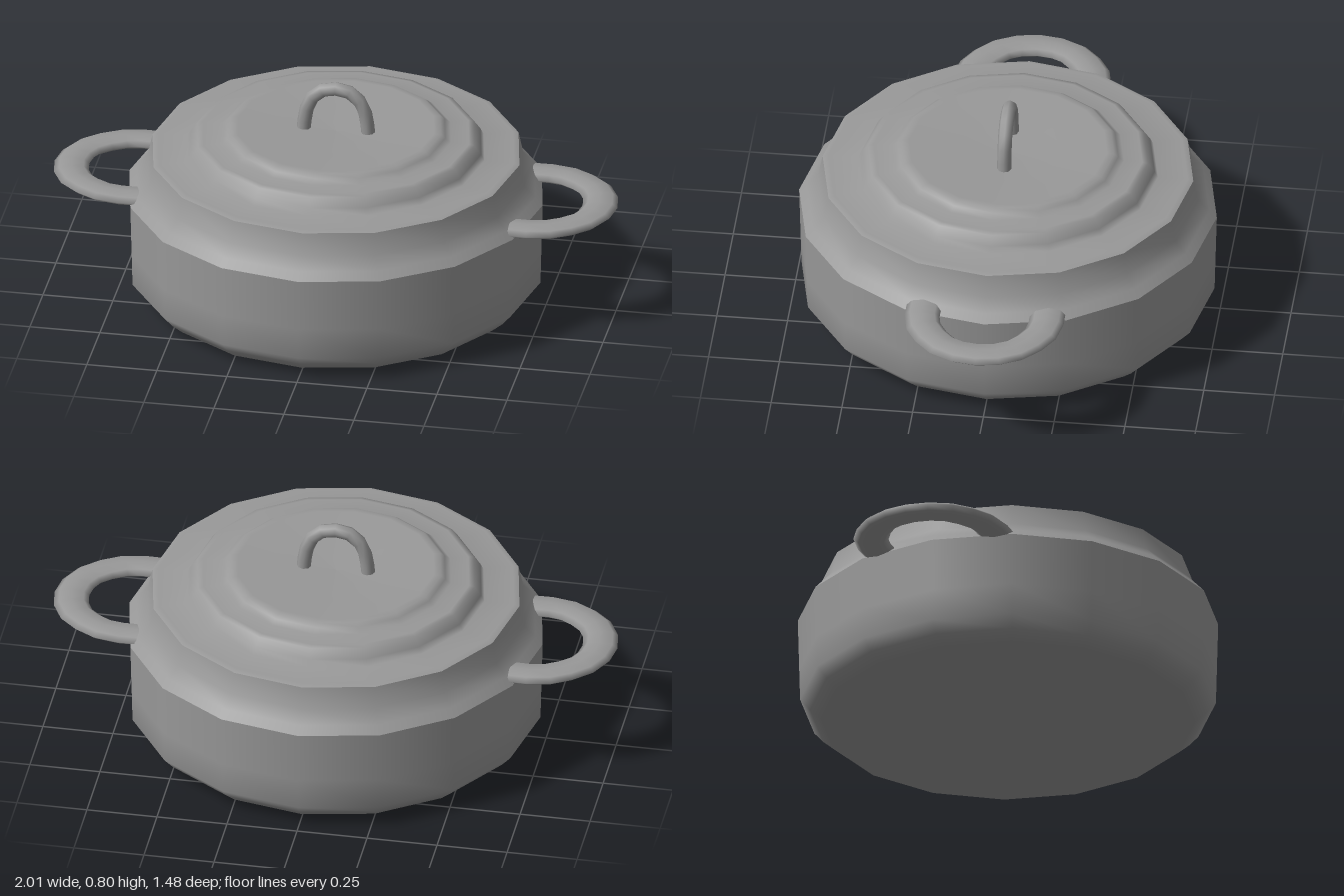
import * as THREE from 'three';

const grey = new THREE.MeshStandardMaterial({ color: 0x999999 });
grey.name = 'grey metal';

const SIDES = 16;

function lathe(name, profile) {
  const points = profile.map(([r, y]) => new THREE.Vector2(r, y));
  const mesh = new THREE.Mesh(new THREE.LatheGeometry(points, SIDES), grey);
  mesh.name = name;
  return mesh;
}

// Tube along half a path that is mirrored on its first coordinate
function loopTube(half, toPoint, radius, steps, sides) {
  const path = [...half, ...half.slice().reverse().map(([a, b]) => [-a, b])];
  const curve = new THREE.CatmullRomCurve3(path.map(toPoint));
  return new THREE.TubeGeometry(curve, steps, radius, sides);
}

export function createModel() {
  const pot = new THREE.Group();
  pot.name = 'casserole';

  // Rounded pot with a slightly domed base
  pot.add(lathe('potBody', [
    [0, 0], [0.28, 0.002], [0.655, 0.01], [0.695, 0.045], [0.73, 0.085],
    [0.733, 0.2], [0.738, 0.39],
  ]));

  // Stepped lid with a dished centre
  pot.add(lathe('lidSkirt', [[0.738, 0.39], [0.712, 0.418], [0.672, 0.46], [0.655, 0.54]]));
  pot.add(lathe('lidTop', [
    [0.655, 0.54], [0.635, 0.546], [0.53, 0.546], [0.518, 0.57], [0.495, 0.602],
    [0.475, 0.606], [0.41, 0.606], [0.39, 0.622], [0.375, 0.634], [0.35, 0.635],
    [0.18, 0.624], [0, 0.615],
  ]));

  // Arched knob on the lid
  const knob = new THREE.Mesh(
    loopTube([[0.116, 0.6], [0.108, 0.68], [0.088, 0.735], [0.04, 0.774]],
      ([x, y]) => new THREE.Vector3(x, y, 0), 0.025, 10, 8),
    grey);
  knob.name = 'lidHandle';
  pot.add(knob);

  // Flat looped handles, one each side
  for (const side of [1, -1]) {
    const geometry = loopTube(
      [[0.218, 0.66], [0.212, 0.78], [0.13, 0.9], [0.045, 0.938]],
      ([z, x]) => new THREE.Vector3(x, 0, z), 0.062, 12, 8);
    geometry.scale(1, 0.34, 1);
    const handle = new THREE.Mesh(geometry, grey);
    handle.name = side > 0 ? 'leftHandle' : 'rightHandle';
    handle.position.y = 0.404;
    if (side < 0) handle.rotation.y = Math.PI;
    pot.add(handle);
  }
  return pot;
}
